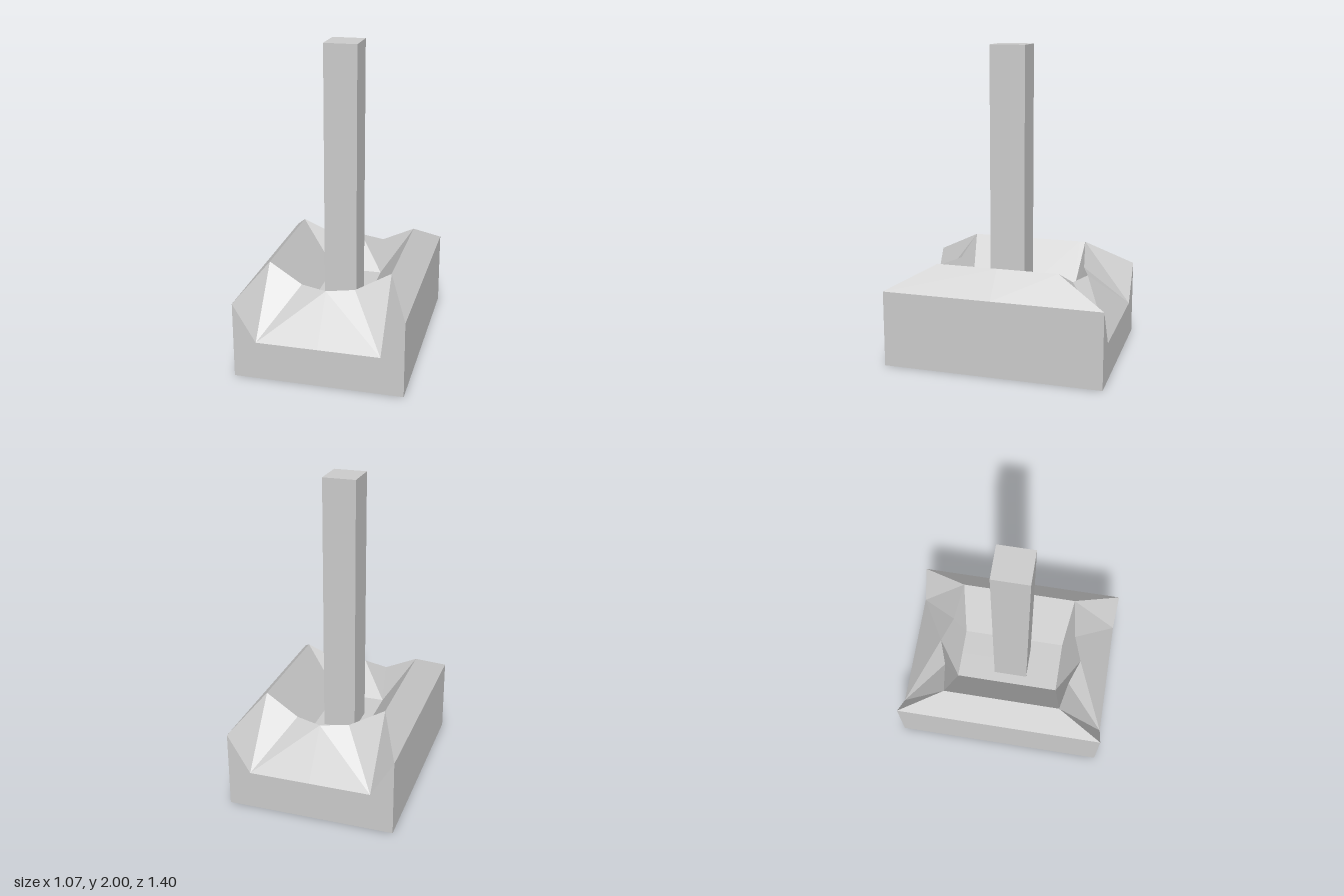
import * as THREE from 'three';

const material = new THREE.MeshStandardMaterial({ color: 0xcccccc, flatShading: true });

// Corner points of one quarter (+x, +z) of the footing; a 0 marks a symmetry plane.
const W = 0.535, D = 0.7, FLOOR = 0.32;
const P = {
  base: [W, 0, D], baseX: [0, 0, D], baseZ: [W, 0, 0], baseO: [0, 0, 0],
  corner: [W, 0.49, D], cornerZ: [W, 0.49, 0],
  lip: [0.39, 0.245, D], lipX: [0, 0.245, D],
  ridge: [0.39, 0.655, 0.39], ridgeIn: [0.39, 0.655, 0.35], ridgeZ: [0.39, 0.655, 0],
  rim: [0.17, 0.54, 0.43], rimX: [0, 0.54, 0.49],
  floor: [0.17, FLOOR, 0.35], floorX: [0, FLOOR, 0.35], floorZ: [0.17, FLOOR, 0], floorO: [0, FLOOR, 0],
};

// Faces of the quarter, counter-clockwise from outside, each drawn as a fan.
const FACES = [
  // notched end wall
  'baseX base lip lipX', 'base corner lip',
  // slope from the notch up to the rim
  'corner ridge lip', 'lip ridge rim', 'lip rim rimX', 'lipX lip rimX',
  // end wall of the hollow
  'ridge ridgeIn floor', 'ridge floor rim', 'rimX rim floor', 'rimX floor floorX',
  // side wall, outer slope and inner slope
  'base baseZ cornerZ corner', 'corner cornerZ ridgeZ ridge', 'ridgeIn ridgeZ floorZ floor',
  // hollow floor and underside
  'floorX floor floorZ floorO', 'baseX baseO baseZ base',
];

function footingGeometry() {
  const positions = [];
  for (const sx of [1, -1]) for (const sz of [1, -1]) {
    for (const face of FACES) {
      const pts = face.split(' ').map((n) => [P[n][0] * sx, P[n][1], P[n][2] * sz]);
      if (sx * sz < 0) pts.reverse(); // mirrored quarters flip their winding
      for (let i = 1; i < pts.length - 1; i++) positions.push(...pts[0], ...pts[i], ...pts[i + 1]);
    }
  }
  const geometry = new THREE.BufferGeometry();
  geometry.setAttribute('position', new THREE.Float32BufferAttribute(positions, 3));
  geometry.computeVertexNormals();
  return geometry;
}

export function createModel() {
  const group = new THREE.Group();
  group.name = 'postOnFooting';

  const footing = new THREE.Mesh(footingGeometry(), material);
  footing.name = 'footing';
  group.add(footing);

  // Square post standing on the hollow floor, slightly forward of centre
  const height = 2 - FLOOR;
  const post = new THREE.Mesh(new THREE.BoxGeometry(0.212, height, 0.227), material);
  post.position.set(0.002, FLOOR + height / 2, 0.016);
  post.name = 'post';
  group.add(post);

  return group;
}
